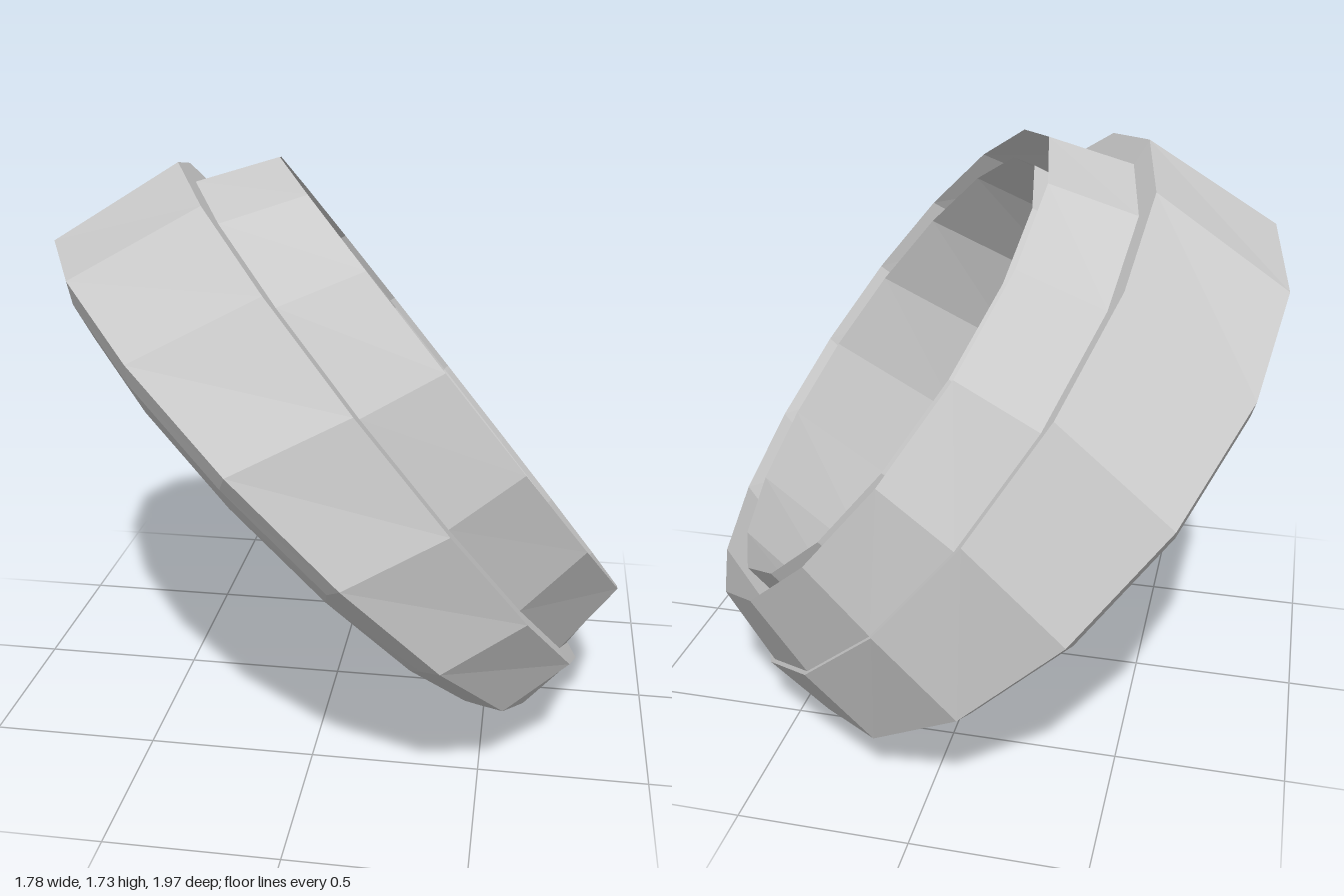
import * as THREE from 'three';

const SIDES = 16;

// One 16-sided, slightly oval loop around a tilted axis: ru is its radius along
// the slope, rv across it, and phase turns it by a fraction of a side
function loop({ c, n, ru, rv = ru, phase = 0 }) {
  const axis = new THREE.Vector3(...n).normalize();
  const u = new THREE.Vector3(0, -1, 0).projectOnPlane(axis).normalize();
  const v = axis.clone().cross(u);
  return Array.from({ length: SIDES }, (_, j) => {
    const t = ((j + phase) / SIDES) * Math.PI * 2;
    return new THREE.Vector3(...c)
      .addScaledVector(u, ru * Math.cos(t))
      .addScaledVector(v, rv * Math.sin(t));
  });
}

// Flat-faced skin through a series of loops
function band(name, sections, material) {
  const rings = sections.map(loop);
  const pts = [];
  for (let i = 0; i < rings.length - 1; i++) {
    for (let j = 0; j < SIDES; j++) {
      const k = (j + 1) % SIDES;
      const a = rings[i][j], b = rings[i][k], c = rings[i + 1][k], d = rings[i + 1][j];
      pts.push(a, b, c, a, c, d);
    }
  }
  const geometry = new THREE.BufferGeometry().setFromPoints(pts);
  geometry.computeVertexNormals();
  const mesh = new THREE.Mesh(geometry, material);
  mesh.name = name;
  return mesh;
}

export function createModel() {
  const group = new THREE.Group();
  group.name = 'steppedRing';
  const material = new THREE.MeshStandardMaterial({
    color: 0xcccccc, flatShading: true, side: THREE.DoubleSide,
  });

  const lowAxis = [0.68, 0.69, -0.245];
  const highAxis = [0.757, 0.612, -0.23];

  // Shared edges
  const lowerLip = { c: [-0.145, 0.685, 0.06], n: lowAxis, ru: 0.885, phase: -0.2 };
  const stepInside = { c: [0.14, 0.92, -0.075], n: highAxis, ru: 0.935 };

  // Wide band: bevelled lower rim, outer wall and step
  group.add(band('wideBand', [
    lowerLip,
    { c: [-0.155, 0.715, 0.015], n: lowAxis, ru: 0.97, phase: -0.22 },
    { c: [-0.13, 0.745, 0.01], n: lowAxis, ru: 1.03, rv: 1.025, phase: -0.22 },
    { c: [0.135, 0.94, -0.035], n: highAxis, ru: 0.99 },
    stepInside,
  ], material));

  // Narrow band: tapered outer wall, open at its upper rim
  group.add(band('narrowBand', [
    stepInside,
    { c: [0.335, 1.065, -0.085], n: highAxis, ru: 0.845, rv: 0.91 },
  ], material));

  // Inner wall, set in from the narrow band with a gap between the rims
  group.add(band('innerWall', [
    { c: [0.32, 1.055, -0.085], n: highAxis, ru: 0.753, rv: 0.8 },
    lowerLip,
  ], material));

  return group;
}
